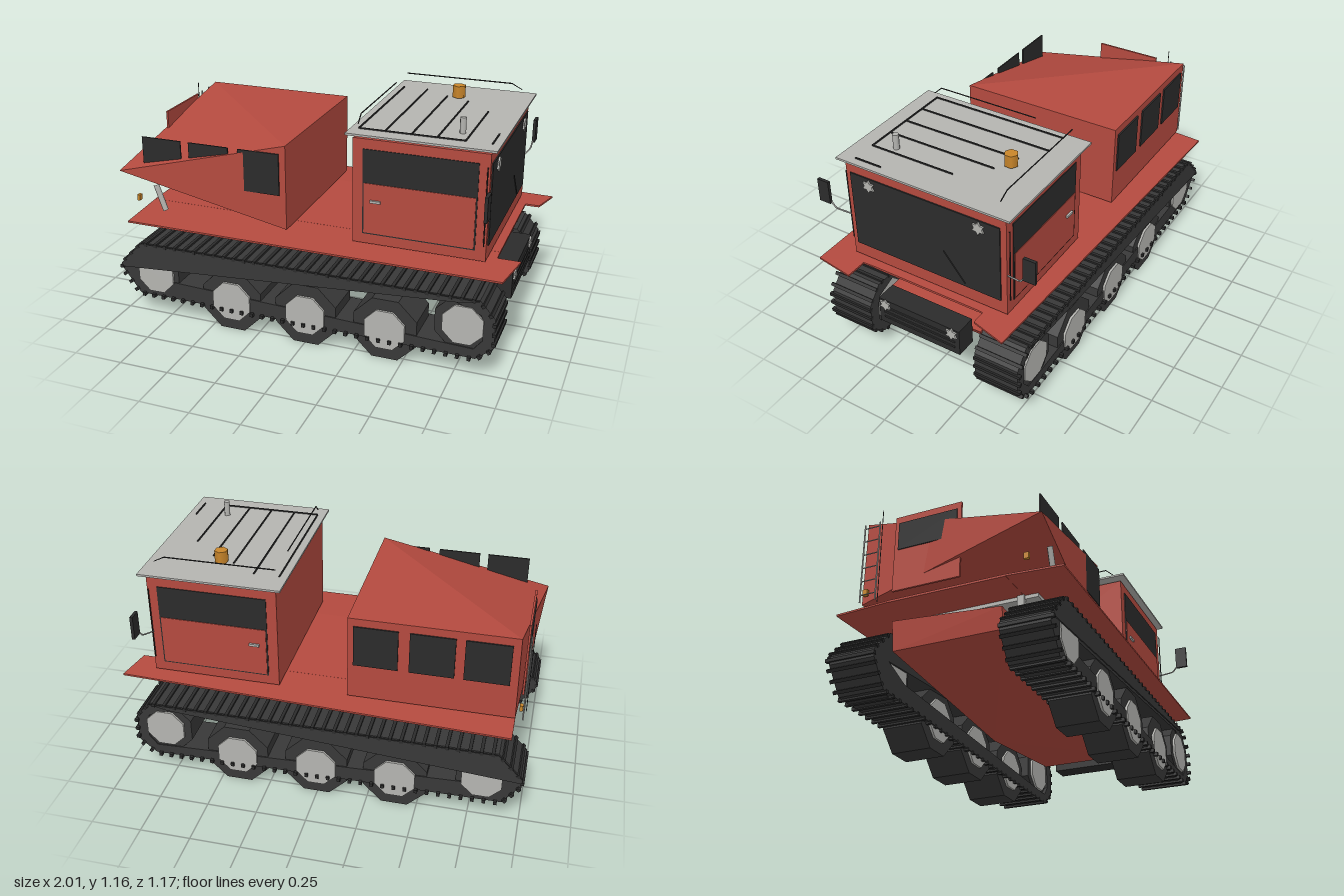
import * as THREE from 'three';
import { ConvexGeometry } from 'three/addons/geometries/ConvexGeometry.js';

const mat = (name, color) => Object.assign(new THREE.MeshStandardMaterial({ color }), { name });

export function createModel() {
  const root = new THREE.Group();
  root.name = 'trackedSnowVehicle';
  const red = mat('red paint', 0xb44a3f);
  const black = mat('black glass and trim', 0x2b2b2b);
  const rubber = mat('dark rubber', 0x383838);
  const grey = mat('light grey metal', 0xb4b4b0);
  const orange = mat('orange lamp', 0xc8852a);

  const add = (name, geo, m, parent = root) => {
    const mesh = new THREE.Mesh(geo, m);
    mesh.name = name;
    parent.add(mesh);
    return mesh;
  };
  // box given by its limits on each axis
  const box = (name, m, [x0, x1], [y0, y1], [z0, z1], parent) => {
    const b = add(name, new THREE.BoxGeometry(x1 - x0, y1 - y0, Math.abs(z1 - z0)), m, parent);
    b.position.set((x0 + x1) / 2, (y0 + y1) / 2, (z0 + z1) / 2);
    return b;
  };
  const hull = (name, m, pts) =>
    add(name, new ConvexGeometry(pts.map(p => new THREE.Vector3(...p))), m);
  const rod = (name, m, pts, r = 0.005) => {
    const path = new THREE.CurvePath();
    const v = pts.map(p => new THREE.Vector3(...p));
    for (let i = 1; i < v.length; i++) path.add(new THREE.LineCurve3(v[i - 1], v[i]));
    return add(name, new THREE.TubeGeometry(path, (v.length - 1) * 4, r, 6), m);
  };
  const polygon = pts => new THREE.Shape(pts.map(p => new THREE.Vector2(...p)));
  const plate = (pts, depth) => new THREE.ExtrudeGeometry(polygon(pts), { depth, bevelEnabled: false });

  // cab
  box('cab', red, [0.21, 0.85], [0.55, 1.068], [-0.425, 0.425]);
  box('windscreen', black, [0.85, 0.856], [0.62, 1.017], [-0.395, 0.4]);
  box('roof', grey, [0.18, 0.88], [1.084, 1.094], [-0.46, 0.452]);
  box('roofBase', black, [0.25, 0.82], [1.066, 1.086], [-0.38, 0.38]);
  for (const s of [1, -1]) {
    box('doorSurround', black, [0.26, 0.8], [0.6, 1.02], [s * 0.424, s * 0.429]);
    box('doorPanel', red, [0.267, 0.793], [0.607, 0.855], [s * 0.424, s * 0.432]);
    box('doorHandle', grey, [0.3, 0.35], [0.763, 0.775], [s * 0.43, s * 0.442]);
    box('mirror', black, [0.865, 0.88], [0.81, 0.93], [s * 0.522, s * 0.584]);
    rod('mirrorBracket', grey, [[0.84, 0.765, s * 0.42], [0.865, 0.785, s * 0.5], [0.87, 0.83, s * 0.535]], 0.004);
    rod('grabRail', black, [[0.84, 0.63, s * 0.436], [0.84, 1.01, s * 0.436]], 0.003);
  }
  rod('wiper', black, [[0.86, 0.64, -0.21], [0.86, 0.78, -0.1]], 0.003);

  // roof equipment
  const bars = [[0.22, -0.33], [0.345, -0.33], [0.47, -0.25], [0.59, -0.2], [0.72, -0.07], [0.84, 0.23]];
  for (const [x, z] of bars) box('roofBar', black, [x - 0.003, x + 0.003], [1.094, 1.1], [z, 0.37]);
  box('roofRail', black, [0.22, 0.72], [1.094, 1.1], [0.367, 0.373]);
  rod('raisedRail', black, [[0.22, 1.12, 0.38], [0.22, 1.157, 0.38], [0.22, 1.157, -0.19]], 0.003);
  rod('raisedRail', black, [[0.22, 1.157, -0.38], [0.82, 1.157, -0.38], [0.82, 1.13, -0.38]], 0.003);
  add('beacon', new THREE.CylinderGeometry(0.033, 0.033, 0.06, 6), orange).position.set(0.53, 1.13, -0.25);
  add('exhaustStack', new THREE.CylinderGeometry(0.015, 0.015, 0.09, 8), grey).position.set(0.68, 1.125, 0.265);

  // rear body, tapering to one drawn-out corner
  hull('rearBody', red, [
    [-0.13, 0.55, -0.43], [-0.13, 0.98, -0.43], [-0.13, 0.55, 0.42], [-0.13, 0.98, 0.42],
    [-0.925, 0.98, -0.43], [-0.93, 0.55, -0.43], [-1, 0.765, 0.49],
  ]);
  for (const s of [1, -1])
    for (const x of [-0.89, -0.635, -0.37])
      box('sideWindow', black, [x, x + 0.212], [0.73, 0.94], [s * 0.43, s * 0.437]);
  box('rearDoor', red, [-0.955, -0.945], [0.57, 0.955], [-0.26, 0.08]);
  box('rearWindow', black, [-0.96, -0.955], [0.78, 0.92], [-0.24, 0.06]);
  for (const z of [-0.42, -0.34]) rod('ladderRail', grey, [[-0.965, 0.54, z], [-0.965, 0.95, z]], 0.004);
  for (let y = 0.58; y < 0.95; y += 0.07) rod('ladderRung', grey, [[-0.965, y, -0.42], [-0.965, y, -0.34]], 0.003);
  rod('aerial', black, [[-0.975, 0.52, -0.32], [-0.975, 1, -0.32]], 0.002);
  rod('sidePipe', grey, [[-0.82, 0.7, 0.45], [-0.775, 0.57, 0.45]], 0.014);
  for (const z of [-0.4, 0.4]) box('tailLamp', orange, [-0.96, -0.945], [0.58, 0.61], [z - 0.012, z + 0.012]);

  // deck, fenders and struts
  box('deck', red, [-0.93, 0.89], [0.534, 0.545], [-0.29, 0.29]);
  const fender = (pts) => {
    const g = plate(pts, 0.009).rotateX(Math.PI / 2);
    const p = g.attributes.position;
    for (let i = 0; i < p.count; i++) p.setY(i, p.getY(i) + 0.545 - 0.05 * Math.max(0, Math.abs(p.getZ(i)) - 0.28));
    g.computeVertexNormals();
    add('fender', g, red);
  };
  fender([[-0.93, 0.28], [-0.93, 0.56], [0.96, 0.56], [1, 0.35], [0.89, 0.35], [0.89, 0.28]]);
  fender([[-0.93, -0.28], [0.89, -0.28], [0.89, -0.32], [0.96, -0.32], [1, -0.49], [-0.93, -0.565]]);
  for (const x of [-0.74, -0.37, 0.01, 0.385, 0.76])
    for (const s of [1, -1]) box('strut', grey, [x - 0.01, x + 0.01], [0.4, 0.54], [s * 0.262, s * 0.295]);
  for (const x of [-0.74, -0.32, 0.41])
    box('underPanel', grey, [x, x + 0.19], [0.515, 0.533], [-0.36, 0.36]);

  // lower hull
  hull('lowerHull', red, [
    [-0.92, 0.44, -0.27], [-0.92, 0.4, 0.27], [-0.9, 0.3, -0.27], [-0.9, 0.3, 0.27],
    [0.84, 0.36, -0.27], [0.84, 0.34, 0.29], [0.8, 0.3, -0.27], [0.8, 0.3, 0.22], [0.1, 0.22, -0.26],
  ]);
  box('bumper', black, [0.84, 0.945], [0.28, 0.42], [-0.225, 0.23]);
  for (const y of [0.315, 0.345, 0.375])
    box('grilleSlat', rubber, [0.945, 0.95], [y, y + 0.008], [-0.2, 0.2]);

  // star-shaped lamps
  const star = Array.from({ length: 12 }, (_, i) => {
    const r = i % 2 ? 0.02 : 0.034, a = i * Math.PI / 6 + Math.PI / 6;
    return [r * Math.cos(a), r * Math.sin(a)];
  });
  for (const [x, y, z] of [[0.857, 0.98, 0.295], [0.857, 0.98, -0.29], [0.946, 0.395, 0.19], [0.946, 0.395, -0.185]]) {
    const lamp = add('lamp', plate(star, 0.008).rotateY(Math.PI / 2), grey);
    lamp.position.set(x, y, z);
  }

  // tracks, modelled for one side and turned to the other by a mirrored build
  const loop = [[-1, 0.24], [-0.91, 0.12], [0.85, 0.1], [0.935, 0.17], [0.935, 0.32], [0.86, 0.405], [-0.88, 0.405], [-1, 0.28]];
  const hole = [[-0.88, 0.265], [0.74, 0.38], [0.87, 0.33], [0.88, 0.2], [0.84, 0.15], [-0.74, 0.21]];
  const wheels = [[-0.81, 0.24, 0.13, 0.105], [-0.39, 0.163, 0.163, 0.108], [0.005, 0.163, 0.163, 0.108],
    [0.41, 0.163, 0.163, 0.108], [0.785, 0.265, 0.14, 0.105]];
  for (const s of [1, -1]) {
    const track = new THREE.Group();
    track.name = s > 0 ? 'trackNear' : 'trackFar';
    root.add(track);
    const ring = polygon(loop);
    ring.holes.push(new THREE.Path(hole.map(p => new THREE.Vector2(...p))));
    add('trackBelt', new THREE.ExtrudeGeometry(ring, { depth: 0.23, bevelEnabled: false }), rubber, track)
      .position.z = s > 0 ? 0.298 : -0.528;
    add('trackGuard', plate([[-1, 0.26], [0.76, 0.385], [0.86, 0.405], [-0.88, 0.405], [-1, 0.28]], 0.006), rubber, track)
      .position.z = s > 0 ? 0.537 : -0.543;
    // cleats spaced along the belt
    loop.forEach(([ax, ay], i) => {
      const [bx, by] = loop[(i + 1) % loop.length];
      const len = Math.hypot(bx - ax, by - ay), n = Math.max(1, Math.round(len / 0.055));
      for (let k = 0; k < n; k++) {
        const t = (k + 0.5) / n;
        const cleat = add('cleat', new THREE.BoxGeometry(0.016, 0.018, 0.25), black, track);
        cleat.position.set(ax + (bx - ax) * t, ay + (by - ay) * t, s * 0.42);
        cleat.rotation.z = Math.atan2(by - ay, bx - ax);
      }
    });
    // road wheels with pale hubs
    for (const [x, y, r, h] of wheels) {
      const turn = g => g.rotateY(Math.PI / 8).rotateX(Math.PI / 2);
      const tyre = new THREE.CylinderGeometry(r * 1.04, r * 1.04, 0.205, 8).toNonIndexed();
      tyre.computeVertexNormals();
      add('wheel', turn(tyre), rubber, track).position.set(x, y, s * 0.42);
      add('hub', turn(new THREE.CylinderGeometry(h, h, 0.228, 8)), grey, track).position.set(x, y, s * 0.42);
    }
  }
  return root;
}
